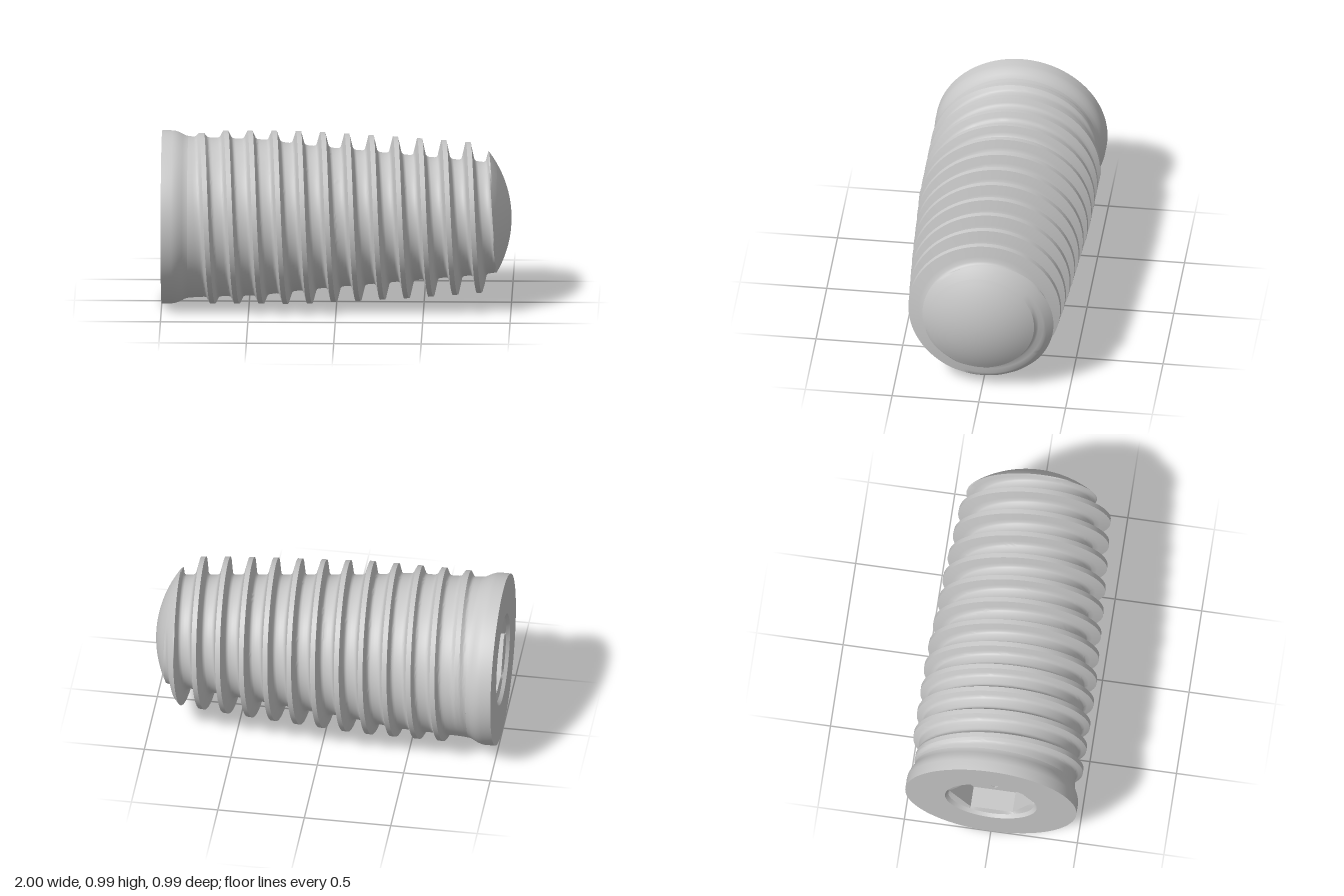
import * as THREE from 'three';
import { toCreasedNormals } from 'three/addons/utils/BufferGeometryUtils.js';

const AXIS_Y = 0.495, SEG = 120, PITCH = 0.1387;
const BODY_START = -0.85, BODY_END = 0.918, TIP_R = 0.62;

// Piecewise linear lookup through [x, value] points
function lookup(points, x) {
  if (x <= points[0][0]) return points[0][1];
  for (let i = 1; i < points.length; i++) {
    const [x0, a] = points[i - 1], [x1, b] = points[i];
    if (x <= x1) return a + (b - a) * (x - x0) / (x1 - x0);
  }
  return points[points.length - 1][1];
}

const core = [[-0.85, 0.463], [-0.8, 0.458], [-0.42, 0.445], [-0.29, 0.428], [-0.15, 0.411],
  [0, 0.397], [0.13, 0.386], [0.41, 0.36], [0.69, 0.335], [0.82, 0.324], [0.92, 0.31]];
const crest = [[-0.2, 0.495], [0.06, 0.48], [0.34, 0.465], [0.62, 0.445], [0.83, 0.428], [0.92, 0.42]];
const startRamp = [[-0.82, 0], [-0.75, 1]];
const toothShape = [[0.014, 1], [0.033, 0.15], [0.04, 0.05], [0.05, 0]];

// Radius of the spherical tip, at its widest behind the sphere's centre
const tipRadius = x => Math.sqrt(TIP_R ** 2 - Math.max(0, x - 1 + TIP_R) ** 2);

// Skin of rows around the x axis; at(row, angle) gives [x, radius]
function skin(name, rows, at, material, crease = 0.6) {
  const pos = [];
  const point = (i, j) => {
    const t = j / SEG * Math.PI * 2, [x, r] = at(i, t);
    return new THREE.Vector3(x, AXIS_Y + r * Math.cos(t), r * Math.sin(t));
  };
  const tri = (a, b, c) => {
    if (new THREE.Triangle(a, b, c).getArea() > 1e-9) pos.push(...a, ...b, ...c);
  };
  for (let i = 0; i < rows - 1; i++) {
    for (let j = 0; j < SEG; j++) {
      const a = point(i, j), b = point(i, j + 1), c = point(i + 1, j), d = point(i + 1, j + 1);
      tri(a, b, c);
      tri(b, d, c);
    }
  }
  const geo = new THREE.BufferGeometry();
  geo.setAttribute('position', new THREE.Float32BufferAttribute(pos, 3));
  const mesh = new THREE.Mesh(toCreasedNormals(geo, crease), material);
  mesh.name = name;
  return mesh;
}

export function createModel() {
  const group = new THREE.Group();
  group.name = 'threadedScrew';
  const metal = new THREE.MeshStandardMaterial({ color: 0xc8c8c8 });
  metal.name = 'grey metal';

  // Smooth collar with a concave neck
  const collar = [[-1, 0.265], [-1, 0.495], [-0.94, 0.495], [-0.92, 0.492], [-0.9, 0.485],
    [-0.88, 0.475], [-0.865, 0.467], [-0.85, 0.463]];
  group.add(skin('collar', collar.length, i => collar[i], metal));

  // Tapered body, rows following the helical thread
  const half = [0.007, 0.014, 0.02, 0.027, 0.033, 0.04, 0.05];
  const offsets = [-PITCH / 2, ...half.map(v => -v).reverse(), 0, ...half];
  const turns = 17, n = offsets.length;
  group.add(skin('threadedBody', turns * n, (i, t) => {
    const centre = -0.632 + PITCH * (Math.floor(i / n) - 4 + t / (Math.PI * 2));
    const x = THREE.MathUtils.clamp(centre + offsets[i % n], BODY_START, BODY_END);
    const tooth = lookup(toothShape, Math.abs(x - centre)) * lookup(startRamp, centre);
    const root = lookup(core, x);
    const r = root + (lookup(crest, x) - root) * tooth;
    // The rounded tip trims the last turn of the thread
    return [x, Math.min(r, tipRadius(x))];
  }, metal));

  // Rounded tip
  const edge = Math.min(lookup(core, BODY_END), tipRadius(BODY_END));
  group.add(skin('roundedTip', 13, i => {
    const r = edge * (1 - i / 12);
    return [1 - TIP_R + Math.sqrt(TIP_R ** 2 - r * r), r];
  }, metal));

  // Hexagonal socket with a notched bore beneath it
  const round = r => () => r;
  const hex = apothem => t => {
    const s = Math.PI / 3, m = ((t + s / 2) % s + s) % s - s / 2;
    return apothem / Math.cos(m);
  };
  const star = t => {
    const u = (t * 12 / (Math.PI * 2)) % 1;
    return 0.14 + 0.035 * Math.abs(1 - 2 * u);
  };
  const socket = [[-0.5, round(0)], [-0.5, star], [-0.85, star], [-0.85, hex(0.21)],
    [-0.97, hex(0.21)], [-0.98, round(0.25)], [-1, round(0.265)]];
  group.add(skin('hexSocket', socket.length, (i, t) => [socket[i][0], socket[i][1](t)], metal, 0.4));

  return group;
}
